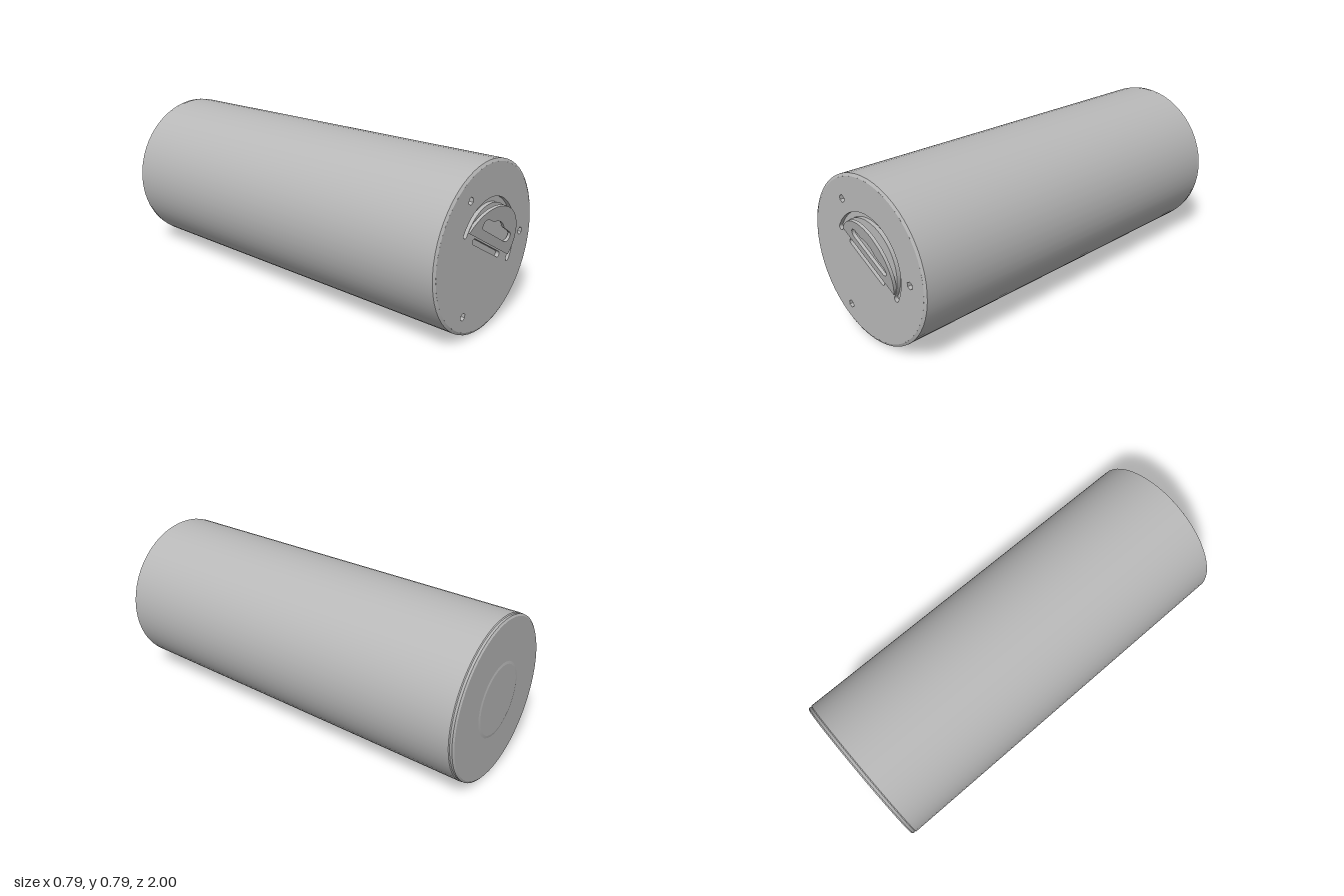
import * as THREE from 'three';

const metal = new THREE.MeshStandardMaterial({ color: 0xb8b8b8 });
metal.name = 'plainGrey';

const FRONT = 0.957, BACK = -0.994, R = 0.389, TILT = -Math.PI / 6;
const HINGE = { x: 0, y: 0.403 };

function add(parent, name, geometry) {
  const mesh = new THREE.Mesh(geometry, metal);
  mesh.name = name;
  parent.add(mesh);
  return mesh;
}

// The can leans very slightly between its two ends.
function lean(geometry) {
  const p = geometry.attributes.position;
  for (let i = 0; i < p.count; i++) {
    const z = p.getZ(i);
    p.setX(i, p.getX(i) - 0.002 - 0.006 * z);
    p.setY(i, p.getY(i) + 0.3975 + 0.0055 * z);
  }
  return geometry;
}

// Open tapered ring along z, from z0 (radius r0) forward to z1 (radius r1).
function ring(z0, r0, z1, r1) {
  const g = new THREE.CylinderGeometry(r1, r0, z1 - z0, 56, 1, true);
  g.rotateX(Math.PI / 2).translate(0, 0, (z0 + z1) / 2);
  return lean(g);
}

// Page coordinates to the turned frame of the handle.
function local(x, y) {
  const v = new THREE.Vector2(x - HINGE.x, y - HINGE.y);
  return v.rotateAround(new THREE.Vector2(), -TILT);
}

function capsule(x0, x1, y, r) {
  const p = new THREE.Path();
  p.moveTo(x0, y - r);
  p.lineTo(x1, y - r);
  p.absarc(x1, y, r, -Math.PI / 2, Math.PI / 2, false);
  p.lineTo(x0, y + r);
  p.absarc(x0, y, r, Math.PI / 2, Math.PI * 1.5, false);
  return p;
}

export function createModel() {
  const model = new THREE.Group();
  model.name = 'canister';

  // Body wall with chamfered ends and a fine seam near the back
  add(model, 'bodyWall', ring(-0.972, R, 0.95, R));
  add(model, 'frontChamfer', ring(0.95, R, FRONT, 0.376));
  add(model, 'seamFront', ring(-0.976, 0.385, -0.972, R));
  add(model, 'backRim', ring(-0.988, 0.387, -0.976, 0.385));
  add(model, 'backChamfer', ring(BACK, 0.378, -0.988, 0.387));

  // Back end with a shallow central disc
  const backDisc = new THREE.CircleGeometry(0.378, 56).rotateY(Math.PI);
  add(model, 'backEnd', lean(backDisc.translate(0, 0, BACK)));
  const boss = new THREE.CylinderGeometry(0.18, 0.165, 0.003, 32);
  add(model, 'backBoss', lean(boss.rotateX(Math.PI / 2).translate(0, 0, BACK - 0.001)));

  // Front end, turned so that the handle hinge lies level in its own frame
  const front = new THREE.Group();
  front.name = 'frontEnd';
  front.position.set(HINGE.x, HINGE.y, FRONT);
  front.rotation.z = TILT;
  model.add(front);

  const face = new THREE.Shape();
  const c = local(-0.0077, 0.4028);
  face.absarc(c.x, c.y, 0.376, 0, Math.PI * 2, false);

  // Curved finger groove with rounded ends
  const groove = new THREE.Path();
  groove.absarc(0, 0, 0.224, 0, Math.PI, false);
  groove.absarc(-0.211, 0, 0.013, Math.PI, Math.PI * 2, false);
  groove.absarc(0, 0, 0.198, Math.PI, 0, true);
  groove.absarc(0.211, 0, 0.013, Math.PI, Math.PI * 2, false);
  face.holes.push(groove, capsule(-0.126, 0.112, -0.005, 0.013));

  // Three small six-sided sockets
  for (const [x, y] of [[-0.155, 0.65], [0.281, 0.4], [-0.162, 0.134]]) {
    const s = local(x, y), hole = new THREE.Path();
    for (let i = 0; i < 6; i++) {
      const a = (i * Math.PI) / 3;
      const px = s.x + 0.018 * Math.cos(a), py = s.y + 0.018 * Math.sin(a);
      if (i) hole.lineTo(px, py); else hole.moveTo(px, py);
    }
    hole.closePath();
    face.holes.push(hole);
  }
  const faceGeo = new THREE.ExtrudeGeometry(face, { depth: 0.02, bevelEnabled: false, curveSegments: 28 });
  add(front, 'frontFace', faceGeo.translate(0, 0, -0.02));
  add(front, 'recessFloor', new THREE.CircleGeometry(0.37, 40).translate(c.x, c.y, -0.018));

  // Half-round handle flap, lifted at its curved edge, with a grip slot
  const flap = new THREE.Shape();
  flap.moveTo(-0.19, 0.015);
  flap.lineTo(0.19, 0.015);
  flap.absarc(0, 0, 0.195, 0.08, Math.PI - 0.08, false);
  flap.closePath();
  const slot = new THREE.Path();
  slot.moveTo(-0.105, 0.057);
  slot.lineTo(0.105, 0.057);
  slot.absarc(0.105, 0.081, 0.024, -Math.PI / 2, Math.PI / 2, false);
  slot.lineTo(0.04, 0.108);
  slot.quadraticCurveTo(0.02, 0.123, -0.01, 0.123);
  slot.quadraticCurveTo(-0.04, 0.122, -0.06, 0.108);
  slot.lineTo(-0.105, 0.105);
  slot.absarc(-0.105, 0.081, 0.024, Math.PI / 2, Math.PI * 1.5, false);
  flap.holes.push(slot);
  const flapGeo = new THREE.ExtrudeGeometry(flap, { depth: 0.014, bevelEnabled: false, curveSegments: 24 });
  const handle = add(front, 'handleFlap', flapGeo.translate(0, 0, -0.011));
  handle.rotation.x = 0.2;

  return model;
}
